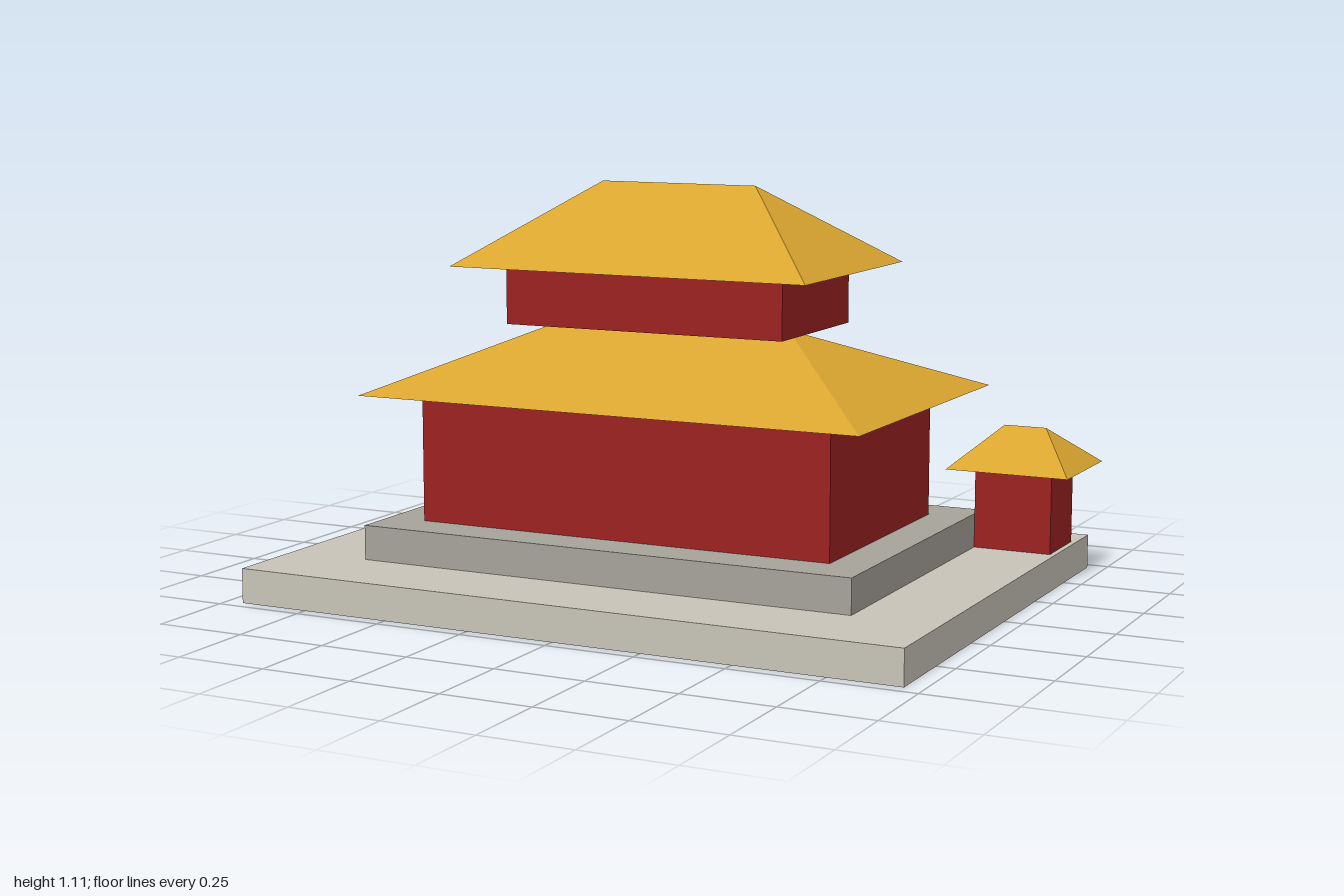
import * as THREE from 'three';

const mat = (name, color, extra = {}) => {
  const m = new THREE.MeshStandardMaterial({ color, ...extra });
  m.name = name;
  return m;
};

// Box given by its bottom, top, width, depth and centre
function block(name, material, w, d, y0, y1, x = 0, z = 0) {
  const mesh = new THREE.Mesh(new THREE.BoxGeometry(w, y1 - y0, d), material);
  mesh.position.set(x, (y0 + y1) / 2, z);
  mesh.name = name;
  return mesh;
}

// Open hip roof: four slopes rising from the eaves to a ridge along x
function hipRoof(name, material, w, d, ridge, y0, y1, x = 0, z = 0) {
  const hx = w / 2, hz = d / 2, r = ridge / 2, h = y1 - y0;
  const a = [-hx, 0, hz], b = [hx, 0, hz], c = [hx, 0, -hz], e = [-hx, 0, -hz];
  const left = [r, h, 0], right = [-r, h, 0];
  const corners = [
    a, b, left, a, left, right, // front slope
    c, e, right, c, right, left, // back slope
    b, c, left, // left hip
    e, a, right, // right hip
  ];
  const geo = new THREE.BufferGeometry();
  geo.setAttribute('position', new THREE.Float32BufferAttribute(corners.flat(), 3));
  geo.computeVertexNormals();
  const mesh = new THREE.Mesh(geo, material);
  mesh.position.set(x, y0, z);
  mesh.name = name;
  return mesh;
}

export function createModel() {
  const paleStone = mat('pale stone', 0xc9c5b9);
  const greyStone = mat('grey stone', 0xa8a49c);
  const redWall = mat('red wall', 0x9e2222);
  const goldTile = mat('gold tile', 0xdaa530, { side: THREE.DoubleSide });

  const model = new THREE.Group();
  model.name = 'palace';

  // Stepped stone base
  model.add(block('platform', paleStone, 1.9, 1.43, 0, 0.095));
  model.add(block('terrace', greyStone, 1.43, 0.95, 0.095, 0.19));

  // Main hall with two storeys
  model.add(block('lowerHall', redWall, 1.206, 0.7, 0.19, 0.545));
  model.add(hipRoof('lowerRoof', goldTile, 1.46, 0.945, 0.66, 0.545, 0.73));
  model.add(block('upperHall', redWall, 0.82, 0.443, 0.73, 0.892));
  model.add(hipRoof('upperRoof', goldTile, 1.045, 0.665, 0.46, 0.892, 1.112));

  // Corner pavilions at the back
  for (const side of [1, -1]) {
    const pavilion = new THREE.Group();
    pavilion.name = side > 0 ? 'leftPavilion' : 'rightPavilion';
    pavilion.add(block('pavilionWalls', redWall, 0.22, 0.19, 0.095, 0.32));
    pavilion.add(hipRoof('pavilionRoof', goldTile, 0.35, 0.315, 0.12, 0.32, 0.43));
    pavilion.position.set(side * 0.825, 0, -0.51);
    model.add(pavilion);
  }
  return model;
}
